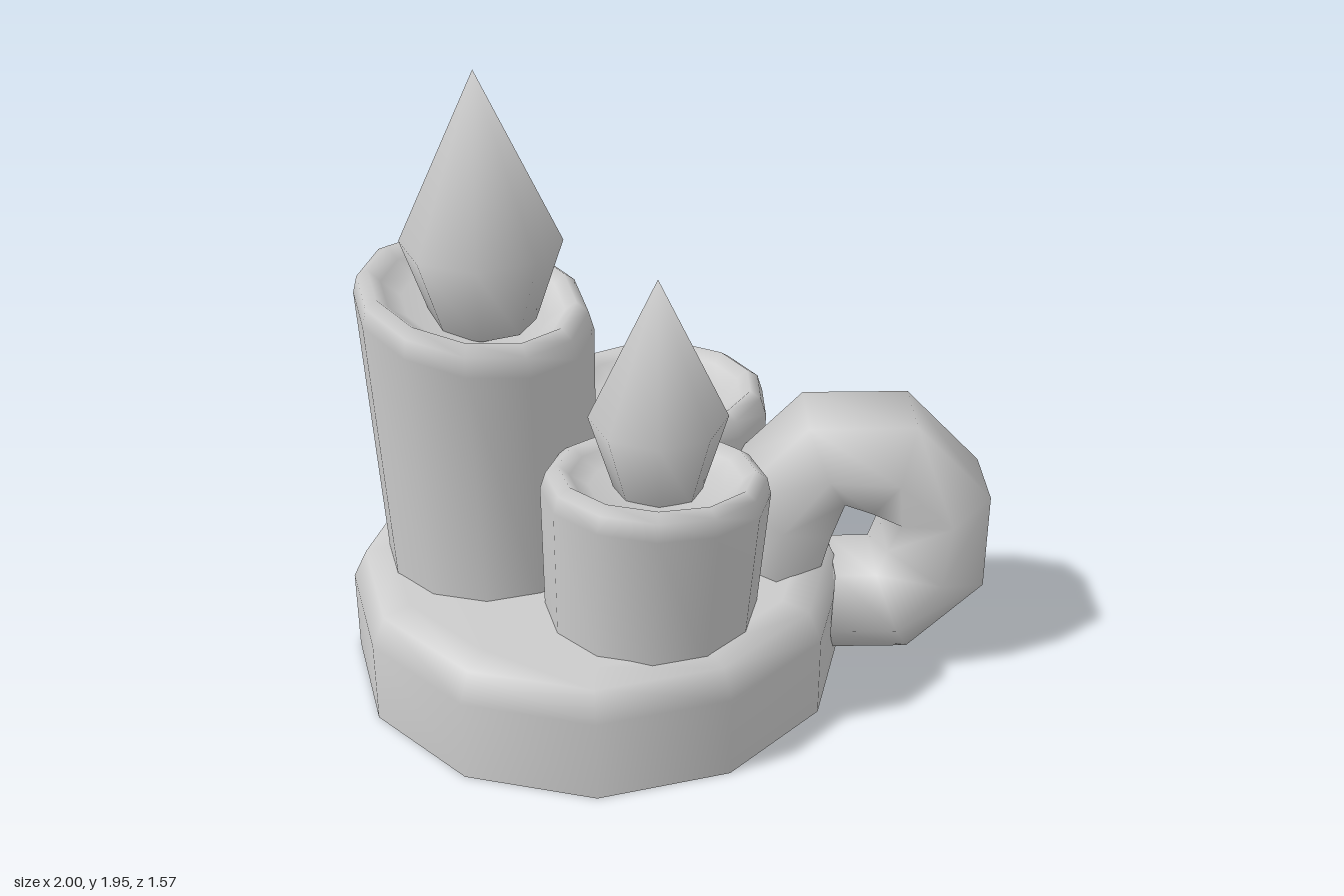
import * as THREE from 'three';
import { mergeVertices } from 'three/addons/utils/BufferGeometryUtils.js';

const material = new THREE.MeshStandardMaterial({ color: 0xcccccc, side: THREE.DoubleSide });

function addMesh(parent, geometry, name) {
  const mesh = new THREE.Mesh(geometry, material);
  mesh.name = name;
  parent.add(mesh);
  return mesh;
}

// Weld duplicate vertices and recompute seamless smooth normals
function smooth(geometry) {
  geometry.deleteAttribute('uv');
  geometry.deleteAttribute('normal');
  const welded = mergeVertices(geometry, 1e-4);
  welded.computeVertexNormals();
  return welded;
}

function lathe(points, sides, turn = 0) {
  return new THREE.LatheGeometry(points.map(([r, y]) => new THREE.Vector2(r, y)), sides, turn);
}

// Leaning candle with a rounded rim, a dished top and a slanted melt line
function candleGeometry({ bottom, top, r0, r1, height, slope, turn }) {
  const y0 = 0.32;
  const g = lathe([
    [r0, y0], [r1, height - 0.08], [r1 - 0.015, height - 0.025], [r1 - 0.05, height],
    [r1 - 0.085, height - 0.03], [r1 - 0.14, height - 0.065], [0, height - 0.08],
  ], 12, turn);
  const p = g.attributes.position;
  for (let i = 0; i < p.count; i++) {
    const x = p.getX(i), y = p.getY(i), z = p.getZ(i);
    const t = (y - y0) / (height - y0);
    const tilt = t > 0.01 ? x * slope[0] + z * slope[1] : 0;
    p.setXYZ(i,
      x + THREE.MathUtils.lerp(bottom[0], top[0], t),
      y + tilt,
      z + THREE.MathUtils.lerp(bottom[1], top[1], t));
  }
  return smooth(g);
}

// Eight-sided teardrop flame
function flameGeometry({ r, low, mid, tip }) {
  return smooth(lathe([[0, low], [r * 0.64, low], [r, mid], [0, tip]], 8));
}

// Ring handle: six-sided sections spanning outer and inner points in the xy plane
function handleGeometry() {
  const sections = [
    [0.53, 0.05, 0.53, 0.32], [0.77, 0.05, 0.66, 0.32], [1.0, 0.28, 0.69, 0.41],
    [1.0, 0.6, 0.73, 0.5], [0.76, 0.85, 0.64, 0.545], [0.43, 0.85, 0.55, 0.58],
    [0.2, 0.61, 0.51, 0.46], [0.2, 0.3, 0.47, 0.3],
  ];
  const profile = [[0, 0.12], [0.48, 0.225], [1, 0.12], [1, -0.12], [0.48, -0.225], [0, -0.12]];
  const n = profile.length, last = sections.length - 1;
  const positions = [], index = [];
  sections.forEach(([ox, oy, ix, iy], s) => {
    for (const [t, z] of profile) {
      const bulge = s === 0 && Math.abs(z) > 0.2 ? -0.02 : 0;
      positions.push(ox + (ix - ox) * t + bulge, oy + (iy - oy) * t, z);
    }
    if (s === last) return;
    for (let k = 0; k < n; k++) {
      const a = s * n + k, b = s * n + (k + 1) % n;
      index.push(a, a + n, b, b, a + n, b + n);
    }
  });
  // End caps, with their own vertices to keep the edge sharp
  for (const s of [0, last]) {
    const start = positions.length / 3;
    positions.push(...positions.slice(s * n * 3, (s + 1) * n * 3));
    for (let k = 1; k < n - 1; k++) {
      if (s === 0) index.push(start, start + k, start + k + 1);
      else index.push(start, start + k + 1, start + k);
    }
  }
  const g = new THREE.BufferGeometry();
  g.setAttribute('position', new THREE.Float32BufferAttribute(positions, 3));
  g.setIndex(index);
  g.computeVertexNormals();
  return g;
}

export function createModel() {
  const model = new THREE.Group();
  model.name = 'candleHolder';

  // Twelve-sided dish with a flat underside
  const base = new THREE.Group();
  base.name = 'base';
  base.position.x = -0.217;
  model.add(base);
  addMesh(base, smooth(lathe(
    [[0.783, 0], [0.783, 0.265], [0.74, 0.355], [0.65, 0.37], [0, 0.37]], 12)), 'baseBody');
  addMesh(base, lathe([[0, 0], [0.783, 0]], 12), 'baseUnderside');

  // Candles and their flames
  const candles = [
    { name: 'tallCandle', bottom: [-0.55, -0.02], top: [-0.575, -0.02], r0: 0.33, r1: 0.357,
      height: 1.27, slope: [-0.18, -0.12], turn: 0,
      flame: { at: [-0.54, 0.02], r: 0.24, low: 1.18, mid: 1.435, tip: 1.95 } },
    { name: 'frontCandle', bottom: [-0.055, 0.315], top: [-0.035, 0.35], r0: 0.32, r1: 0.338,
      height: 0.855, slope: [-0.04, 0.1], turn: 0,
      flame: { at: [-0.03, 0.34], r: 0.203, low: 0.78, mid: 1.02, tip: 1.45 } },
    { name: 'backCandle', bottom: [0, -0.335], top: [-0.02, -0.347], r0: 0.335, r1: 0.357,
      height: 0.775, slope: [0, 0.03], turn: Math.PI / 12,
      flame: { at: [-0.01, -0.33], r: 0.13, low: 0.68, mid: 0.8, tip: 1.125 } },
  ];
  for (const c of candles) {
    const group = new THREE.Group();
    group.name = c.name;
    model.add(group);
    addMesh(group, candleGeometry(c), 'wax');
    const flame = addMesh(group, flameGeometry(c.flame), 'flame');
    flame.position.set(c.flame.at[0], 0, c.flame.at[1]);
  }

  addMesh(model, handleGeometry(), 'handle');
  return model;
}
